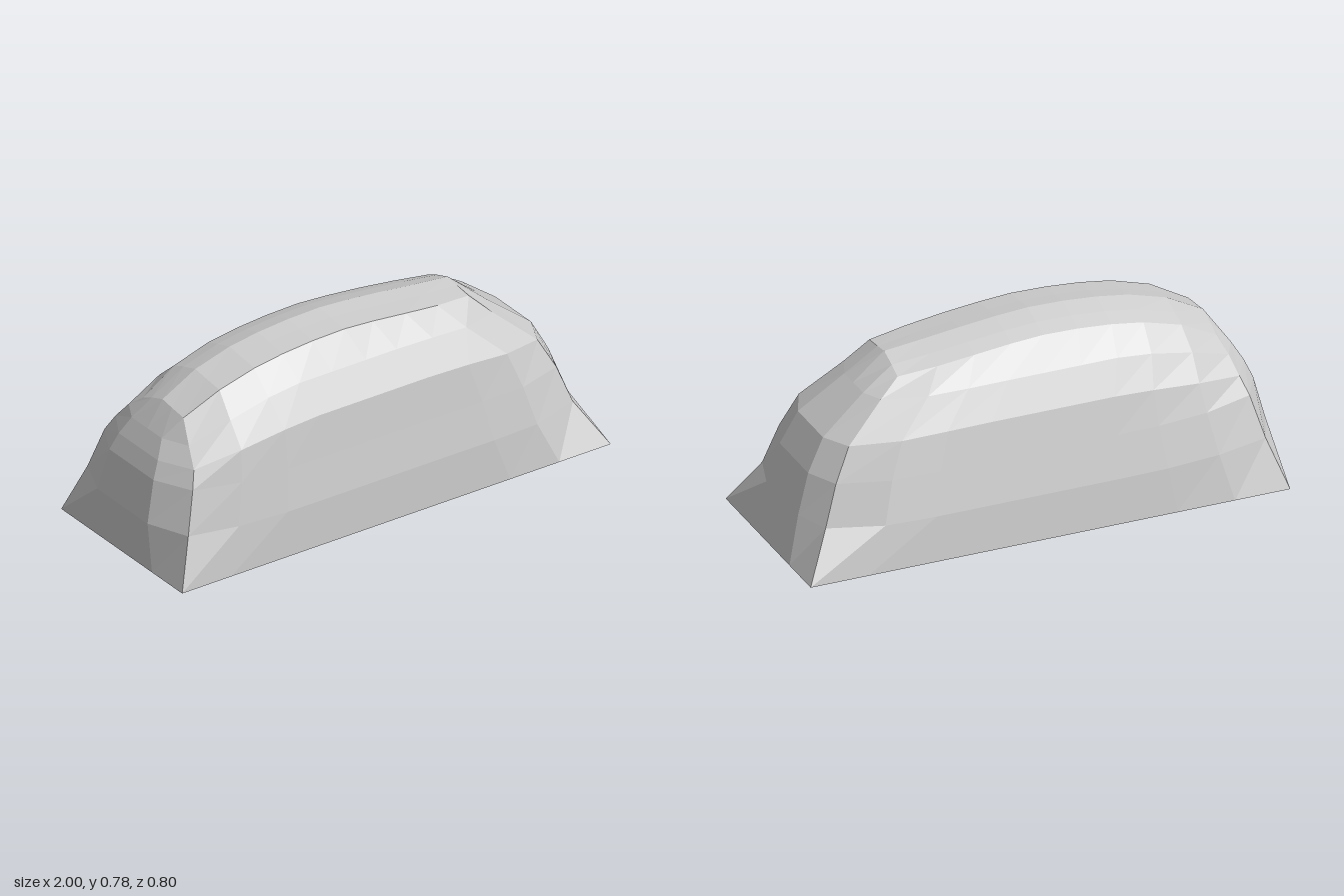
import * as THREE from 'three';

const lerp = THREE.MathUtils.lerp;

// Stacked rings. L / R: end middle x, corner x, end y for the -x and +x ends.
// front / back: z and mid-length y. cut: how far the corners pull in towards z = 0.
const RINGS = [
  { L: [-1, -1, 0], R: [1, 1, 0], front: [0.4, 0], back: [-0.4, 0], cut: [1, 1] },
  { L: [-1, -0.93, 0.2], R: [0.94, 0.89, 0.18], front: [0.392, 0.19], back: [-0.375, 0.18], cut: [0.87, 0.78] },
  { L: [-0.96, -0.885, 0.37], R: [0.89, 0.83, 0.34], front: [0.365, 0.36], back: [-0.33, 0.345], cut: [0.84, 0.77] },
  { L: [-0.93, -0.86, 0.44], R: [0.82, 0.76, 0.47], front: [0.34, 0.53], back: [-0.29, 0.49], cut: [0.82, 0.75] },
  { L: [-0.89, -0.84, 0.51], R: [0.64, 0.6, 0.61], front: [0.265, 0.65], back: [-0.22, 0.615], cut: [0.82, 0.72] },
  { L: [-0.82, -0.82, 0.61], R: [0.51, 0.51, 0.715], front: [0.18, 0.76], back: [-0.13, 0.73], cut: [0.85, 0.86] },
];
const TOP = RINGS.length - 1;

// Columns along the length, and how much each takes the height of its end
const COLS = [-1, -0.77, -0.53, -0.33, -0.12, 0.1, 0.3, 0.53, 0.76, 1];
const END_PULL = [1, 0.45, 0.12, 0, 0, 0, 0, 0.1, 0.4, 1];
const NI = COLS.length - 1, NJ = 4;

// Long, slightly sloping ridge of the top
const RIDGE = [[-0.82, 0.615], [-0.69, 0.69], [-0.53, 0.74], [-0.33, 0.77], [-0.12, 0.78],
  [0.1, 0.765], [0.3, 0.74], [0.51, 0.717]];
function ridgeY(x) {
  let n = 1;
  while (n < RIDGE.length - 1 && x > RIDGE[n][0]) n++;
  const [a, b] = [RIDGE[n - 1], RIDGE[n]];
  return lerp(a[1], b[1], (x - a[0]) / (b[0] - a[0]));
}
const TOP_DROP = [0.018, 0.009, 0, 0.025, 0.05];

// Point on ring k: column i along x, row j from front (0) to back (NJ)
function point(k, i, j) {
  const r = RINGS[k];
  const t = (COLS[i] + 1) / 2;
  const atEnd = i === 0 || i === NI;
  const end = t < 0.5 ? r.L : r.R;
  const narrow = atEnd ? r.cut[t < 0.5 ? 0 : 1] : k > 0 && (i === 1 || i === NI - 1) ? 0.97 : 1;
  const zs = [r.front[0], r.front[0] / 2, 0.015, r.back[0] / 2, r.back[0]];
  const z = j === 2 ? zs[2] : zs[j] * narrow;
  const side = j === 0 || j === NJ;
  const x = atEnd && !side ? end[0] : lerp(r.L[1], r.R[1], t);
  if (k === TOP) return [x, ridgeY(x) - TOP_DROP[j], z];
  const mid = j < 2 ? r.front[1] : r.back[1];
  return [x, lerp(mid, end[2], END_PULL[i]), z];
}

// Walk once round a ring, anticlockwise from above
function perimeter() {
  const path = [];
  for (let i = 0; i < NI; i++) path.push([i, 0]);
  for (let j = 0; j < NJ; j++) path.push([NI, j]);
  for (let i = NI; i > 0; i--) path.push([i, NJ]);
  for (let j = NJ; j > 0; j--) path.push([0, j]);
  return path;
}

export function createModel() {
  const positions = [];
  const quad = (a, b, c, d) => positions.push(...a, ...b, ...c, ...a, ...c, ...d);

  // Sloping sides
  const path = perimeter();
  for (let k = 0; k < TOP; k++) {
    path.forEach((p, n) => {
      const q = path[(n + 1) % path.length];
      quad(point(k, ...p), point(k, ...q), point(k + 1, ...q), point(k + 1, ...p));
    });
  }

  // Rounded top
  for (let i = 0; i < NI; i++) {
    for (let j = 0; j < NJ; j++) {
      quad(point(TOP, i, j), point(TOP, i + 1, j), point(TOP, i + 1, j + 1), point(TOP, i, j + 1));
    }
  }

  // Flat underside
  quad(point(0, 0, 0), point(0, 0, NJ), point(0, NI, NJ), point(0, NI, 0));

  const geometry = new THREE.BufferGeometry();
  geometry.setAttribute('position', new THREE.Float32BufferAttribute(positions, 3));
  geometry.computeVertexNormals();

  const mound = new THREE.Mesh(geometry,
    new THREE.MeshStandardMaterial({ color: 0xcccccc, flatShading: true }));
  mound.name = 'mound';

  const model = new THREE.Group();
  model.name = 'loafShapedMound';
  model.add(mound);
  return model;
}
